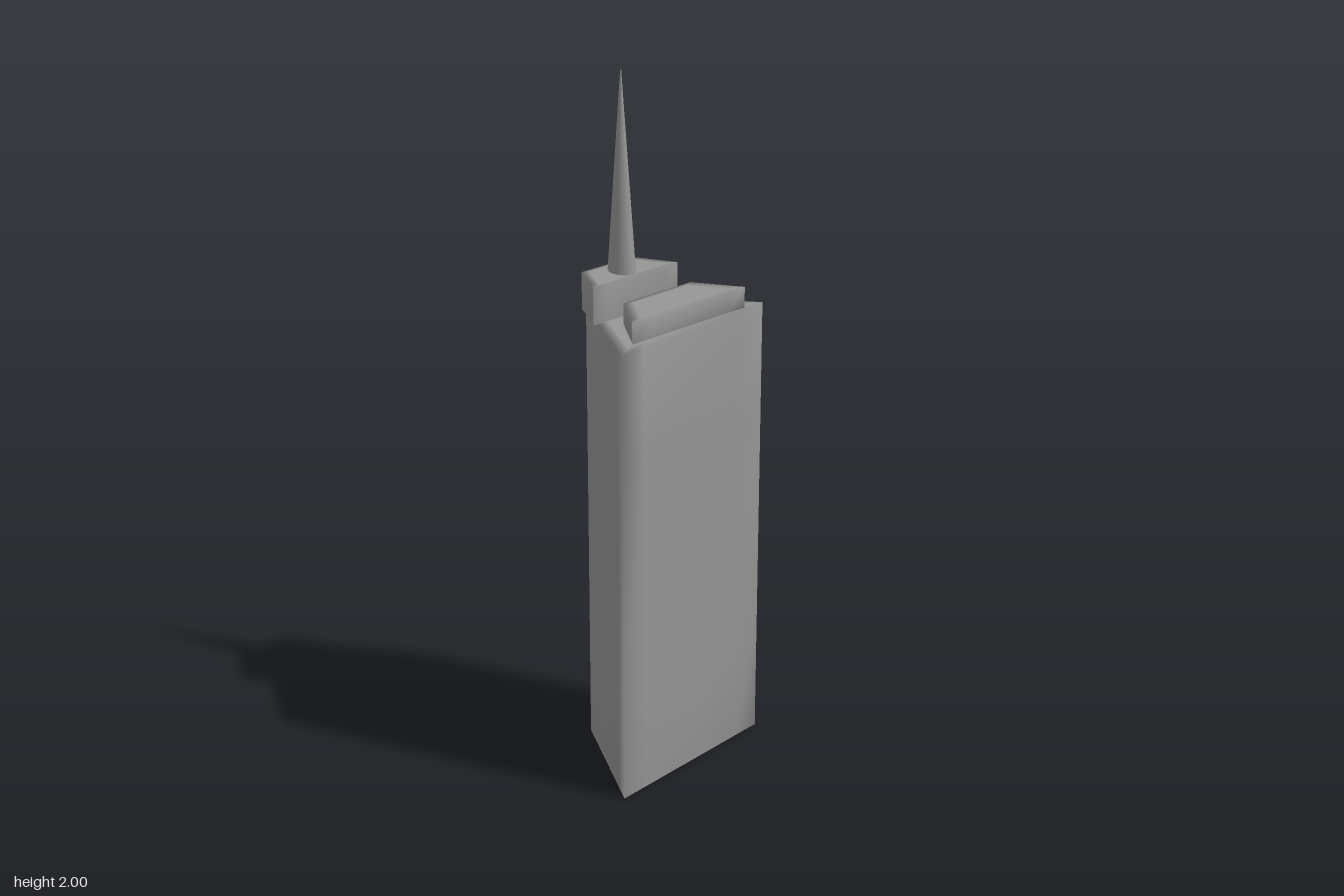
import * as THREE from 'three';
import { mergeVertices } from 'three/addons/utils/BufferGeometryUtils.js';

const material = new THREE.MeshStandardMaterial({ color: 0x969696 });

// Softly shaded upright prism: the [x, z] footprint is lofted through [scale, y] rings
function softPrism(name, corners, rings) {
  const outline = corners.flatMap(([x, z], i) => {
    const [nx, nz] = corners[(i + 1) % corners.length];
    return [0, 0.15, 0.85].map((t) => [x + (nx - x) * t, z + (nz - z) * t]);
  });
  const cx = corners.reduce((sum, c) => sum + c[0], 0) / corners.length;
  const cz = corners.reduce((sum, c) => sum + c[1], 0) / corners.length;
  const n = outline.length;
  const positions = [];
  const index = [];
  rings.forEach(([scale, y], r) => {
    outline.forEach(([x, z], j) => {
      positions.push(cx + (x - cx) * scale, y, cz + (z - cz) * scale);
      if (r === rings.length - 1) return;
      const a = r * n + j;
      const b = r * n + (j + 1) % n;
      index.push(a, b, b + n, a, b + n, a + n);
    });
  });
  let geometry = new THREE.BufferGeometry();
  geometry.setAttribute('position', new THREE.Float32BufferAttribute(positions, 3));
  geometry.setIndex(index);
  geometry = mergeVertices(geometry, 1e-5);
  geometry.computeVertexNormals();
  const mesh = new THREE.Mesh(geometry, material);
  mesh.name = name;
  return mesh;
}

// Closed ring list: bottom cap, wall heights, top cap
const closed = (...heights) => [
  [0, heights[0]], [0.8, heights[0]],
  ...heights.map((y) => [1, y]),
  [0.8, heights.at(-1)], [0, heights.at(-1)],
];

export function createModel() {
  const group = new THREE.Group();
  group.name = 'skyscraper';

  // Main shaft with a skewed trapezoid plan
  group.add(softPrism('tower',
    [[-0.282, 0.175], [0.282, 0.131], [0.057, -0.175], [-0.097, -0.175]],
    closed(0, 0.32, 1.02, 1.333)));

  // Low block on the front of the roof
  group.add(softPrism('frontRoofBlock',
    [[-0.2, 0.127], [0.216, 0.127], [0.134, -0.003], [-0.114, -0.003]],
    closed(1.333, 1.393)));

  // Taller block at the back, slightly overhanging the shaft
  group.add(softPrism('rearRoofBlock',
    [[-0.178, -0.05], [0.13, -0.05], [0.068, -0.168], [-0.118, -0.168]],
    closed(1.333, 1.44)));

  // Tapering spire with an oval base and a tiny blunt tip
  const spire = new THREE.Mesh(new THREE.CylinderGeometry(0.04, 1, 0.56, 16), material);
  spire.geometry.scale(0.034, 1, 0.044);
  spire.position.set(-0.03, 1.72, -0.102);
  spire.name = 'spire';
  group.add(spire);

  return group;
}
